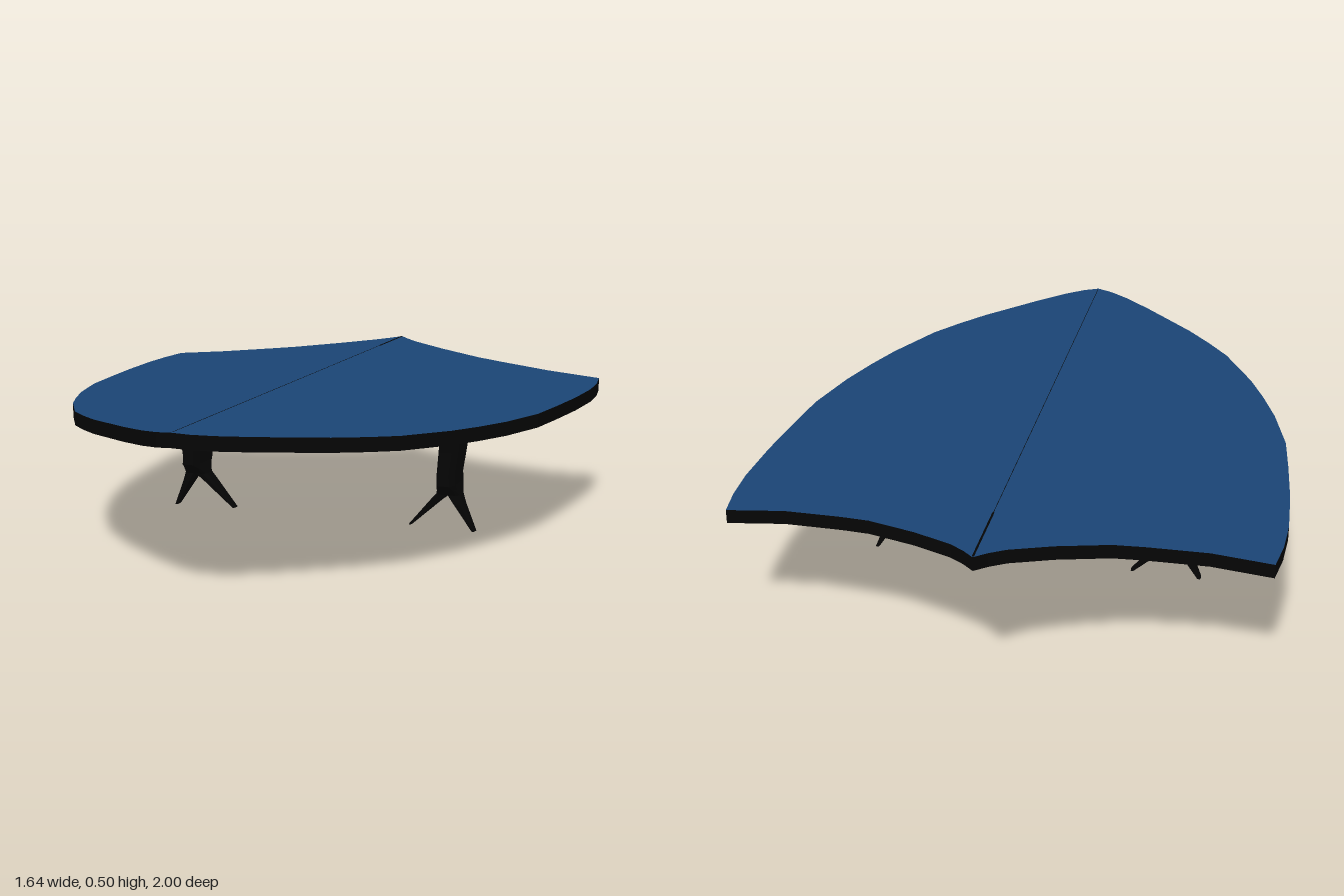
import * as THREE from 'three';

const blue = new THREE.MeshStandardMaterial({ color: 0x1b4576 });
blue.name = 'shield blue';
const black = new THREE.MeshStandardMaterial({ color: 0x050505 });
black.name = 'black';

const SLOPE = 0.0915; // each half falls away from the central ridge

// Half outline of the shield as [x, z], from the back point to the front point
const OUTLINE = [
  [0, -1], [0.035, -0.965], [0.08, -0.93], [0.2, -0.867], [0.35, -0.805], [0.44, -0.785],
  [0.62, -0.755], [0.8, -0.755], [0.815, -0.65], [0.82, -0.53], [0.81, -0.35],
  [0.79, -0.16], [0.77, 0], [0.72, 0.18], [0.67, 0.31], [0.62, 0.42], [0.52, 0.59],
  [0.45, 0.67], [0.37, 0.75], [0.2, 0.89], [0.11, 0.955], [0.05, 0.987], [0, 1],
];

// Moves every edge of a closed outline inwards by d
function inset(points, d) {
  const n = points.length;
  const normal = (a, b) => {
    const dx = b[0] - a[0], dz = b[1] - a[1], l = Math.hypot(dx, dz);
    return [-dz / l, dx / l];
  };
  return points.map((p, i) => {
    const n1 = normal(points[(i + n - 1) % n], p);
    const n2 = normal(p, points[(i + 1) % n]);
    const k = d / (1 + n1[0] * n2[0] + n1[1] * n2[1]);
    return [p[0] + (n1[0] + n2[0]) * k, p[1] + (n1[1] + n2[1]) * k];
  });
}

// Slab with a plan outline, bent down to follow the slope
function slab(name, points, side, bottom, thickness, materials) {
  const shape = new THREE.Shape(points.map(([x, z]) => new THREE.Vector2(x * side, -z)));
  const geo = new THREE.ExtrudeGeometry(shape, { depth: thickness, bevelEnabled: false });
  geo.rotateX(-Math.PI / 2);
  const pos = geo.attributes.position;
  for (let i = 0; i < pos.count; i++) {
    pos.setY(i, pos.getY(i) + bottom - SLOPE * Math.abs(pos.getX(i)));
  }
  geo.computeVertexNormals();
  const mesh = new THREE.Mesh(geo, materials);
  mesh.name = name;
  return mesh;
}

// Loft of chamfered rectangles; each section is [y, xMin, xMax, zMin, zMax], top to bottom
function loft(name, sections, side) {
  const ring = [[1, 0.6], [0.6, 1], [-0.6, 1], [-1, 0.6], [-1, -0.6], [-0.6, -1], [0.6, -1], [1, -0.6]];
  const rows = sections.map(([y, x0, x1, z0, z1]) => ring.map(([u, v]) =>
    [side * (x0 + x1) / 2 + u * (x1 - x0) / 2, y, (z0 + z1) / 2 + v * (z1 - z0) / 2]));
  const verts = [];
  const tri = (a, b, c) => verts.push(...a, ...b, ...c);
  for (let r = 0; r < rows.length - 1; r++) {
    for (let i = 0; i < 8; i++) {
      const j = (i + 1) % 8;
      tri(rows[r][i], rows[r][j], rows[r + 1][i]);
      tri(rows[r][j], rows[r + 1][j], rows[r + 1][i]);
    }
  }
  // End caps
  const first = rows[0], last = rows[rows.length - 1];
  for (let i = 1; i < 7; i++) {
    tri(first[0], first[i + 1], first[i]);
    tri(last[0], last[i], last[i + 1]);
  }
  const geo = new THREE.BufferGeometry();
  geo.setAttribute('position', new THREE.Float32BufferAttribute(verts, 3));
  geo.computeVertexNormals();
  const mesh = new THREE.Mesh(geo, black);
  mesh.name = name;
  return mesh;
}

function createBracket(side) {
  const bracket = new THREE.Group();
  bracket.name = side > 0 ? 'leftBracket' : 'rightBracket';
  // Flared post under the board
  bracket.add(loft('post', [
    [0.43, 0.408, 0.524, -0.24, -0.04],
    [0.42, 0.41, 0.522, -0.237, -0.042],
    [0.38, 0.428, 0.506, -0.234, -0.043],
    [0.27, 0.426, 0.493, -0.22, -0.06],
    [0.19, 0.42, 0.481, -0.22, -0.06],
    [0.16, 0.42, 0.483, -0.22, -0.06],
    [0.12, 0.412, 0.488, -0.182, -0.112],
  ], side));
  // Two splayed prongs
  bracket.add(loft('innerProng', [
    [0.15, 0.42, 0.465, -0.2, -0.08],
    [0.12, 0.41, 0.455, -0.182, -0.112],
    [0.1, 0.392, 0.428, -0.178, -0.115],
    [0.005, 0.312, 0.322, -0.164, -0.135],
  ], side));
  bracket.add(loft('outerProng', [
    [0.15, 0.44, 0.485, -0.2, -0.08],
    [0.12, 0.446, 0.49, -0.182, -0.112],
    [0.09, 0.466, 0.5, -0.176, -0.116],
    [0, 0.526, 0.538, -0.164, -0.135],
  ], side));
  return bracket;
}

export function createModel() {
  const model = new THREE.Group();
  model.name = 'shield';
  const liningOutline = inset(OUTLINE, 0.033);
  for (const side of [1, -1]) {
    const prefix = side > 0 ? 'left' : 'right';
    // Blue faces with a black rim, and a black lining inside a blue border
    model.add(slab(prefix + 'Board', OUTLINE, side, 0.457, 0.043, [blue, black]));
    model.add(slab(prefix + 'Lining', liningOutline, side, 0.455, 0.004, black));
    model.add(createBracket(side));
  }
  // Hairline seam along the ridge, a little wider at the back
  for (const [name, width, z0, z1] of [['backSeam', 0.006, -0.995, -0.745], ['ridgeSeam', 0.0015, -0.745, 0.99]]) {
    const seam = new THREE.Mesh(new THREE.BoxGeometry(width, 0.001, z1 - z0), black);
    seam.name = name;
    seam.position.set(0, 0.5, (z0 + z1) / 2);
    model.add(seam);
  }
  return model;
}
